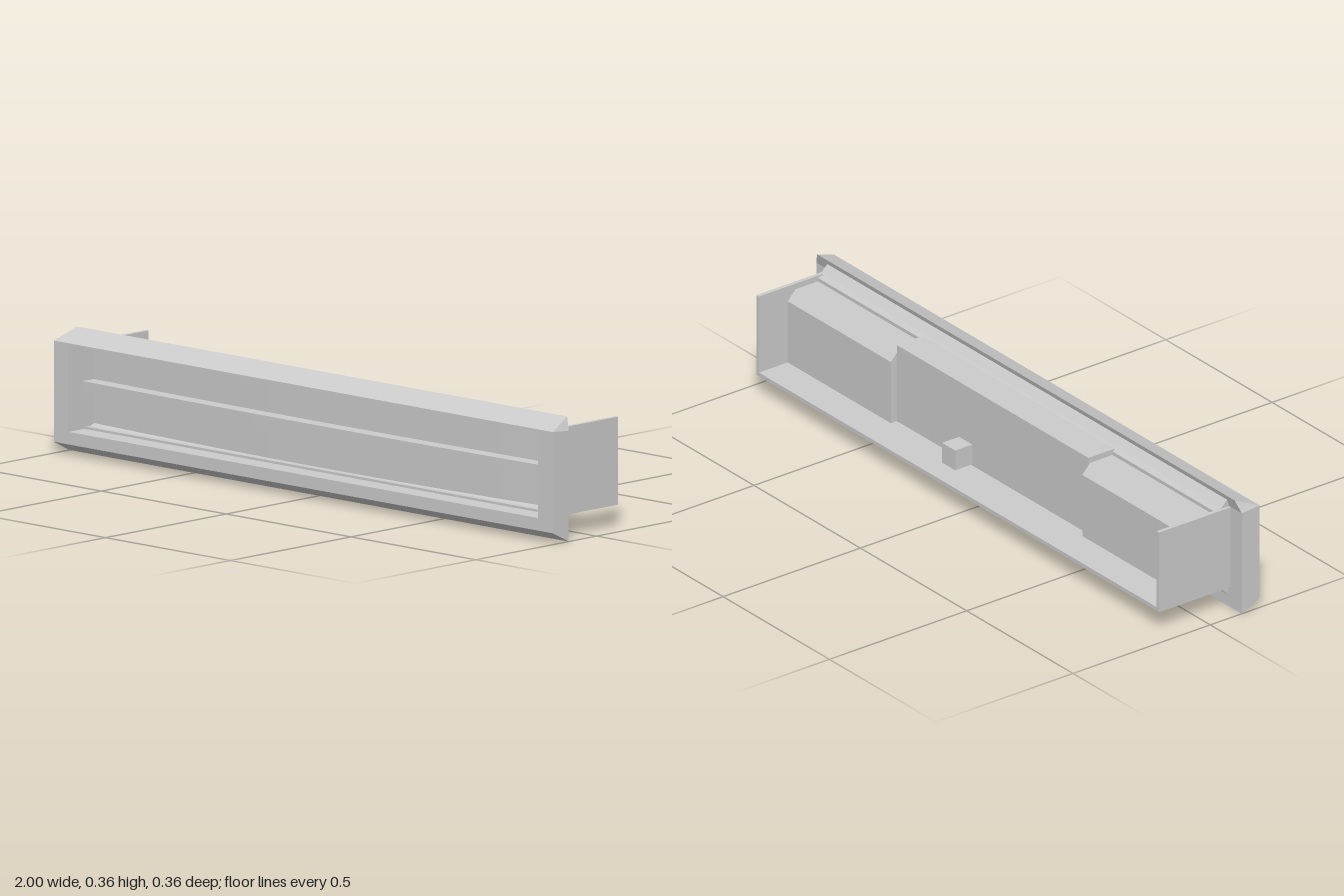
import * as THREE from 'three';

const material = new THREE.MeshStandardMaterial({ color: 0xcccccc, flatShading: true, side: THREE.DoubleSide });

// Sweep a [z, y] profile along x from x0 to x1, optionally moving its vertices by a rule
function sweep(name, profile, x0, x1, steps = 1, rule = null) {
  const shape = new THREE.Shape(profile.map(([z, y]) => new THREE.Vector2(z, y)));
  const geo = new THREE.ExtrudeGeometry(shape, { depth: x1 - x0, steps, bevelEnabled: false });
  geo.rotateY(-Math.PI / 2);
  geo.translate(x1, 0, 0);
  if (rule) {
    const p = geo.attributes.position;
    const v = new THREE.Vector3();
    for (let i = 0; i < p.count; i++) {
      rule(v.fromBufferAttribute(p, i));
      p.setXYZ(i, v.x, v.y, v.z);
    }
  }
  geo.computeVertexNormals();
  const mesh = new THREE.Mesh(geo, material);
  mesh.name = name;
  return mesh;
}

function box(name, x0, x1, y0, y1, z0, z1) {
  const mesh = new THREE.Mesh(new THREE.BoxGeometry(x1 - x0, y1 - y0, z1 - z0), material);
  mesh.position.set((x0 + x1) / 2, (y0 + y1) / 2, (z0 + z1) / 2);
  mesh.name = name;
  return mesh;
}

export function createModel() {
  const group = new THREE.Group();
  group.name = 'recessedPanelUnit';
  const inner = 0.94;

  // Front frame: bottom rail, two side posts and a raised top lip with tapered ends
  group.add(sweep('frameBottom', [[0.115, 0], [0.18, 0.033], [0.18, 0.07], [0.115, 0.07]], -inner, inner));
  const post = [[0.115, 0], [0.18, 0.033], [0.18, 0.325], [0.115, 0.325]];
  group.add(sweep('frameRight', post, -1, -inner), sweep('frameLeft', post, inner, 1));
  group.add(sweep('frameTopLip', [[0.115, 0.325], [0.18, 0.325], [0.18, 0.33], [0.103, 0.363]], -1, 1, 1,
    (v) => { if (v.y > 0.35) v.x *= 0.982; }));

  // Sealing strips behind the frame
  group.add(sweep('upperSeal', [[0.085, 0.325], [0.115, 0.325], [0.108, 0.347]], -inner, inner));
  group.add(sweep('lowerSeal', [[0.085, 0.065], [0.108, 0.042], [0.115, 0.065]], -inner, inner));

  // Recessed front panel with flared edges, bowed forward in the middle
  const bow = (x) => 0.014 * (1 - (x / inner) ** 2);
  group.add(sweep('frontPanel', [
    [0.07, 0.073], [0.115, 0.064], [0.115, 0.07], [0.08, 0.083],
    [0.08, 0.31], [0.115, 0.324], [0.115, 0.325], [0.07, 0.316],
  ], -inner, inner, 8, (v) => {
    if (Math.abs(v.z - 0.08) > 0.001) return;
    const b = bow(v.x);
    v.z += b;
    v.y += (v.y > 0.2 ? 1 : -1) * b * 0.38;
  }));
  group.add(sweep('middleRib', [[0.075, 0.18], [0.125, 0.18], [0.125, 0.212], [0.075, 0.212]], -inner, inner, 8,
    (v) => { if (v.z > 0.1) v.z += bow(v.x); }));

  // Rear body: centre block between two chamfered outer blocks
  group.add(box('centreBlock', -0.45, 0.45, 0.07, 0.323, -0.018, 0.078));
  const outer = [[-0.04, 0.07], [0.075, 0.07], [0.075, 0.305], [-0.012, 0.305], [-0.04, 0.275]];
  group.add(sweep('outerBlockRight', outer, -inner, -0.45), sweep('outerBlockLeft', outer, 0.45, inner));

  // Floor and end plates of the housing
  group.add(box('floorPlate', -0.945, 0.945, 0.065, 0.077, -0.145, 0.115));
  for (const s of [-1, 1]) {
    const plate = box(s > 0 ? 'endPlateLeft' : 'endPlateRight', -0.006, 0.006, 0.065, 0.323, -0.145, 0.115);
    plate.position.x = s * 0.941;
    group.add(plate);
  }

  // Small cube at the rear
  group.add(box('rearCube', -0.031, 0.031, 0.163, 0.227, -0.178, -0.116));
  return group;
}
